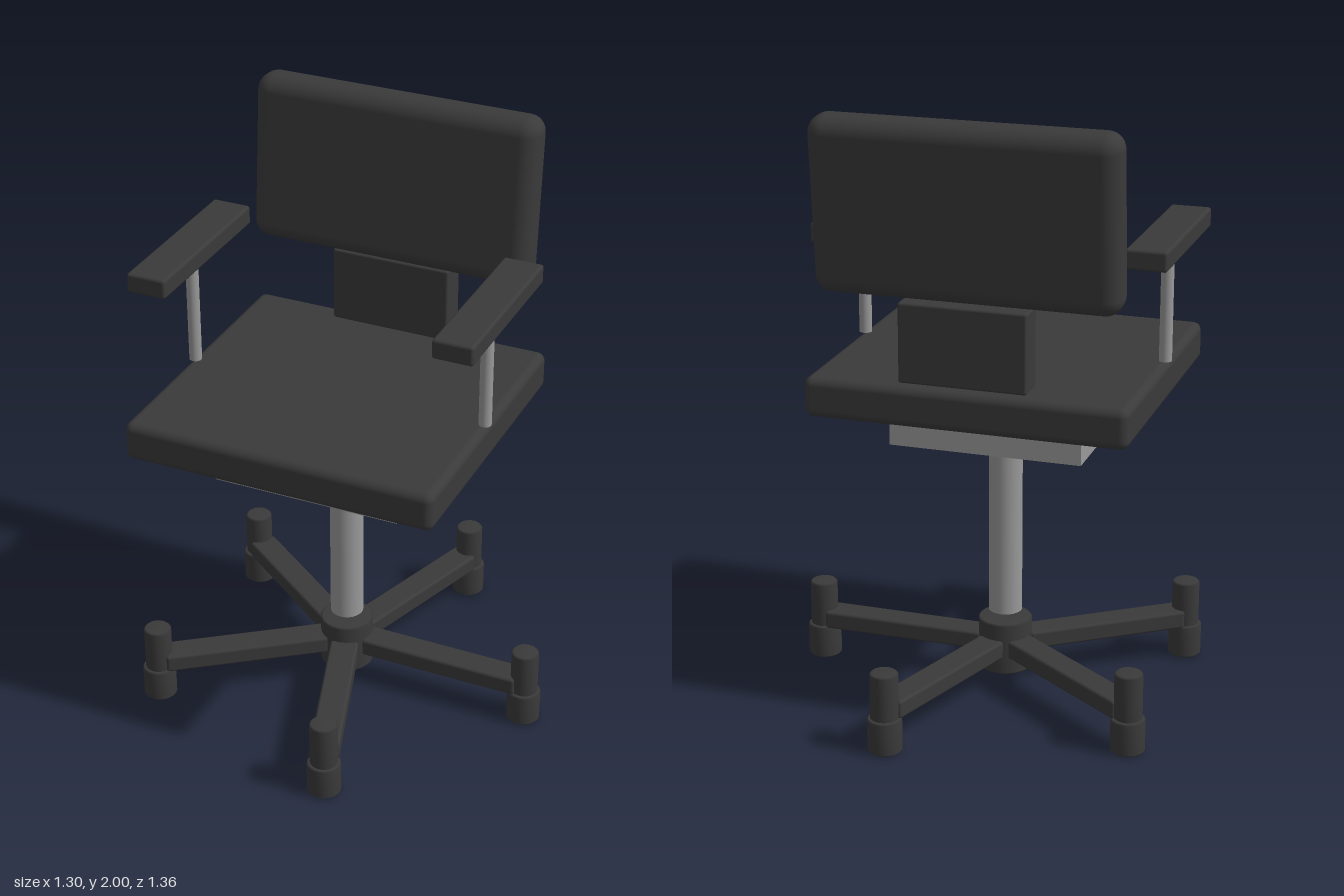
import * as THREE from 'three';
import { RoundedBoxGeometry } from 'three/addons/geometries/RoundedBoxGeometry.js';

export function createModel() {
  const chair = new THREE.Group();
  chair.name = 'officeChair';

  const dark = new THREE.MeshStandardMaterial({ color: 0x3a3a3a });
  dark.name = 'charcoal';
  const metal = new THREE.MeshStandardMaterial({ color: 0x999999 });
  metal.name = 'greyMetal';

  const add = (name, geometry, material, x, y, z, parent = chair) => {
    const mesh = new THREE.Mesh(geometry, material);
    mesh.name = name;
    mesh.position.set(x, y, z);
    parent.add(mesh);
    return mesh;
  };
  const box = (w, h, d, r) => new RoundedBoxGeometry(w, h, d, 4, r);
  const cylinder = (r, y0, y1) =>
    new THREE.CylinderGeometry(r, r, y1 - y0, 32).translate(0, (y0 + y1) / 2, 0);
  // Cylinder with a small chamfer on both rims
  const chamfered = (r, y0, y1, c = 0.006) => {
    const cap = (y) => new THREE.Vector2(0, y);
    const pts = [cap(y0), new THREE.Vector2(r - c, y0), new THREE.Vector2(r, y0 + c),
      new THREE.Vector2(r, y1 - c), new THREE.Vector2(r - c, y1), cap(y1)];
    return new THREE.LatheGeometry(pts, 32);
  };

  // All parts share this column axis
  const cx = -0.065;

  // Star base: hub, five spokes and casters
  const base = new THREE.Group();
  base.name = 'base';
  base.position.x = cx;
  chair.add(base);
  add('hub', chamfered(0.09, 0.05, 0.23), dark, 0, 0, 0, base);
  for (let i = 0; i < 5; i++) {
    const leg = new THREE.Group();
    leg.name = 'leg' + (i + 1);
    leg.rotation.y = (i * Math.PI * 2) / 5;
    add('spoke', box(0.56, 0.062, 0.096, 0.01), dark, 0.355, 0.141, 0, leg);
    add('casterStem', chamfered(0.046, 0.11, 0.27), dark, 0.655, 0, 0, leg);
    add('casterFoot', chamfered(0.056, 0, 0.115), dark, 0.655, 0, 0, leg);
    base.add(leg);
  }

  // Gas column and the mounting plate below the seat
  add('column', cylinder(0.056, 0.255, 0.9), metal, cx, 0, 0);
  add('seatMount', new THREE.BoxGeometry(0.64, 0.148, 0.55), metal, cx, 0.956, 0.045);

  // Seat cushion, back support and tilted backrest
  add('seat', box(1.052, 0.132, 0.985, 0.028), dark, cx, 1.092, 0.042);
  add('backSupport', box(0.414, 0.258, 0.102, 0.008), dark, cx, 1.302, -0.4);
  const back = add('backrest', box(0.983, 0.565, 0.137, 0.056), dark, cx, 1.715, -0.397);
  back.rotation.x = -0.085;

  // Armrests on thin posts
  for (const [side, s] of [['left', 1], ['right', -1]]) {
    add(side + 'ArmPost', cylinder(0.021, 1.158, 1.54), metal, cx + s * 0.512, 0, 0.07);
    add(side + 'Armrest', box(0.134, 0.066, 0.594, 0.01), dark, cx + s * 0.514, 1.564, 0.071);
  }

  return chair;
}
